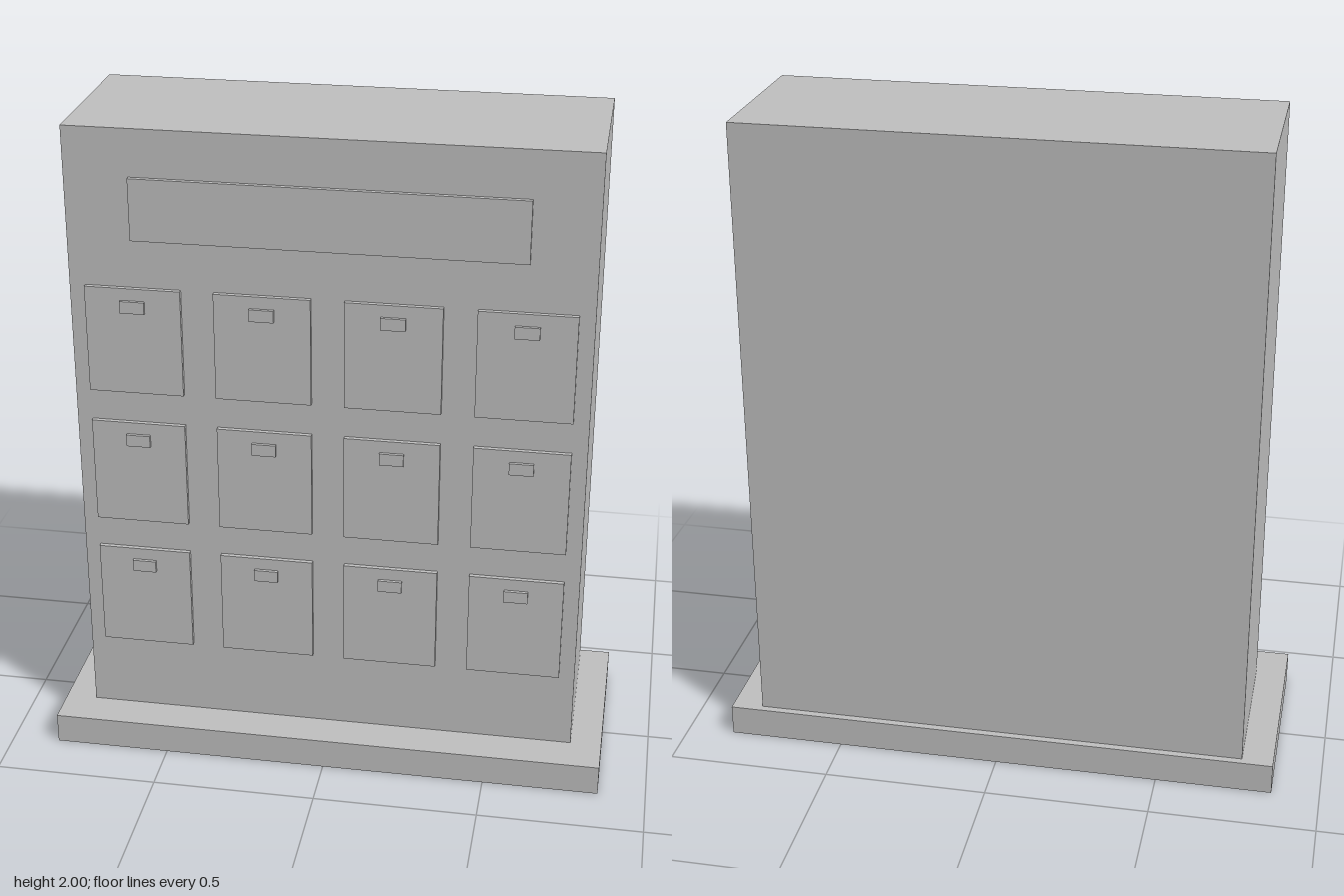
import * as THREE from 'three';

export function createModel() {
  const model = new THREE.Group();
  const grey = new THREE.MeshStandardMaterial({ color: 0xbfbfbf });
  grey.name = 'grey';

  // Box given by its centre in x and its y and z ranges
  function box(name, x, width, y0, y1, z0, z1) {
    const mesh = new THREE.Mesh(new THREE.BoxGeometry(width, y1 - y0, z1 - z0), grey);
    mesh.name = name;
    mesh.position.set(x, (y0 + y1) / 2, (z0 + z1) / 2);
    model.add(mesh);
  }

  const front = 0.212;
  const doorFront = 0.226;

  box('basePlinth', 0, 1.71, 0, 0.095, -0.332, 0.332);
  box('cabinetBody', 0, 1.52, 0.095, 2, -0.309, front);
  box('headerPanel', 0, 1.14, 1.672, 1.858, front, doorFront);

  // Three rows of four small doors, each with a handle near its top
  for (let row = 0; row < 3; row++) {
    const bottom = 0.337 + row * 0.429;
    for (let col = 0; col < 4; col++) {
      const x = (col - 1.5) * 0.381;
      box('door', x, 0.284, bottom, bottom + 0.33, front, doorFront);
      box('doorHandle', x, 0.072, bottom + 0.256, bottom + 0.293, doorFront, 0.236);
    }
  }

  return model;
}
